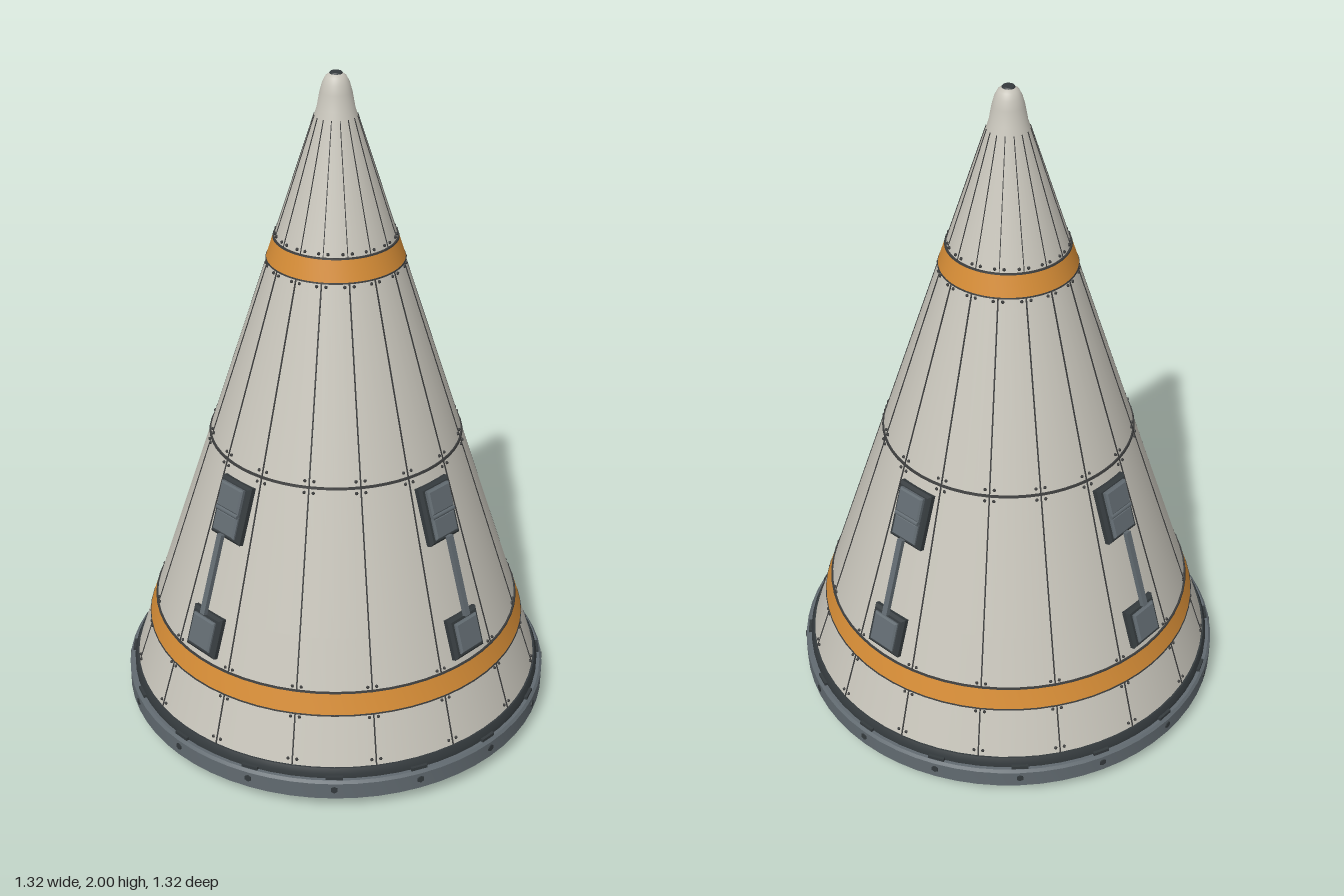
import * as THREE from 'three';
import { mergeGeometries, toCreasedNormals } from 'three/addons/utils/BufferGeometryUtils.js';

const SLOPE = 0.3236, TILT = Math.atan(SLOPE), PANELS = 16;
const radiusAt = (y) => 0.668 - SLOPE * y;

const paint = (color) => new THREE.MeshStandardMaterial({ color });
const shell = paint(0xc8c5bb), orange = paint(0xd58c36), steel = paint(0x616a70);
const dark = paint(0x343a3d), black = paint(0x1b1c1e), line = paint(0x3c3d3d);

function add(parent, name, geometry, material, x = 0, y = 0, z = 0) {
  const mesh = new THREE.Mesh(geometry, material);
  mesh.name = name;
  mesh.position.set(x, y, z);
  parent.add(mesh);
  return mesh;
}

// Surface of revolution; the points run anticlockwise in the (radius, y) plane
function turned(points, creased = true) {
  const g = new THREE.LatheGeometry(points.map(([r, y]) => new THREE.Vector2(r, y)), 64);
  return creased ? toCreasedNormals(g, 0.5) : g;
}

// Thin closed band that wraps the cone between two heights
function band(y0, y1, proud) {
  const a = radiusAt(y0), b = radiusAt(y1);
  return turned([[a - 0.01, y0], [a + proud, y0], [b + proud, y1], [b - 0.01, y1]]);
}

// Places a geometry on the cone, its z axis along the surface normal
function onCone(geometry, angle, y, lift = 0) {
  return geometry.rotateX(-TILT).translate(0, y, radiusAt(y) + lift).rotateY(angle);
}

function pad(width, height, depth, bevel) {
  const w = width / 2 - bevel, h = height / 2 - bevel;
  const s = new THREE.Shape([[-w, -h], [w, -h], [w, h], [-w, h]].map(([x, y]) => new THREE.Vector2(x, y)));
  return new THREE.ExtrudeGeometry(s, {
    depth: depth - bevel, bevelSize: bevel, bevelThickness: bevel, bevelSegments: 1,
  });
}

// Pair of mounting pads joined by a stand-off rod
function createBracket() {
  const bracket = new THREE.Group();
  add(bracket, 'upperPadFrame', pad(0.122, 0.176, 0.024, 0.008), dark, 0, 0.184, -0.006);
  add(bracket, 'upperPadBlock', pad(0.09, 0.075, 0.018, 0.005), steel, 0, 0.223, 0.014);
  add(bracket, 'upperPadLatch', pad(0.09, 0.065, 0.014, 0.005), steel, 0, 0.143, 0.014);
  const hinge = new THREE.CylinderGeometry(0.008, 0.008, 0.088, 10).rotateZ(Math.PI / 2);
  add(bracket, 'upperPadHinge', hinge, steel, 0, 0.18, 0.024);
  add(bracket, 'lowerPadFrame', pad(0.122, 0.126, 0.024, 0.008), dark, 0, -0.2, -0.006);
  add(bracket, 'lowerPadBlock', pad(0.09, 0.094, 0.014, 0.005), steel, 0, -0.2, 0.014);
  add(bracket, 'rod', new THREE.BoxGeometry(0.018, 0.25, 0.014), steel, 0, -0.015, 0.031);
  return bracket;
}

export function createModel() {
  const model = new THREE.Group();
  model.name = 'noseCone';

  // Conical shell with a rounded tip
  add(model, 'coneShell', turned([[radiusAt(0.1), 0.1], [radiusAt(0.5), 0.5], [radiusAt(0.92), 0.92],
    [radiusAt(1.5), 1.5], [radiusAt(1.9), 1.9], [0.045, 1.945], [0.038, 1.97], [0.029, 1.988],
    [0.017, 1.997], [0, 1.998]], false), shell);
  add(model, 'tipCap', new THREE.CylinderGeometry(0.016, 0.021, 0.008, 24), dark, 0, 1.996, 0);

  // Painted bands with dark edge lines
  for (const [name, y0, y1] of [['lowerBand', 0.285, 0.345], ['upperBand', 1.465, 1.525]]) {
    add(model, name, band(y0, y1, 0.004), orange);
    add(model, name + 'BottomEdge', band(y0 - 0.004, y0, 0.005), line);
    add(model, name + 'TopEdge', band(y1, y1 + 0.004, 0.005), line);
  }
  add(model, 'middleSeam', band(0.912, 0.918, 0.004), line);

  // Panel seams and the rivets on either side of them
  const seams = [], rivets = [], bolts = [], clips = [];
  for (let i = 0; i < PANELS; i++) {
    const angle = (i + 0.5) * Math.PI * 2 / PANELS;
    for (const [y0, y1, width] of [[0.13, 1.47, 0.004], [1.52, 1.88, 0.002]]) {
      const strip = new THREE.BoxGeometry(width, (y1 - y0) / Math.cos(TILT), 0.004);
      seams.push(onCone(strip, angle, (y0 + y1) / 2));
    }
    for (const y of [0.15, 0.272, 0.358, 0.9, 0.932, 1.452, 1.538]) {
      for (const side of [-1, 1]) {
        const rivet = new THREE.SphereGeometry(0.005, 6, 4);
        rivets.push(onCone(rivet, angle + side * 0.013 / radiusAt(y), y, 0.001));
      }
    }
    // Bolts round the base ring and clips on its collar
    const around = i * Math.PI * 2 / PANELS;
    bolts.push(new THREE.CylinderGeometry(0.011, 0.011, 0.008, 6)
      .rotateX(Math.PI / 2).translate(0, 0.075, 0.654).rotateY(around));
    clips.push(new THREE.BoxGeometry(0.05, 0.012, 0.02).translate(0, 0.107, 0.636).rotateY(around));
  }
  add(model, 'panelSeams', mergeGeometries(seams), line);
  add(model, 'rivets', mergeGeometries(rivets), line);
  add(model, 'baseBolts', mergeGeometries(bolts), dark);
  add(model, 'collarClips', mergeGeometries(clips), dark);

  // Base ring, collar and underside
  add(model, 'baseRing', turned([[0.645, 0.035], [0.655, 0.043], [0.655, 0.095], [0.648, 0.103], [0.6, 0.103]]), steel);
  add(model, 'baseCollar', turned([[0.638, 0.1], [0.638, 0.118], [0.63, 0.133], [0.61, 0.133]]), dark);
  add(model, 'baseUnderside', turned([[0.5, 0.037], [0.5, 0.035], [0.646, 0.035]]), dark);
  add(model, 'heatPlate', new THREE.CylinderGeometry(0.505, 0.505, 0.02, 64), black, 0, 0.046, 0);
  add(model, 'dockingRing', turned([[0.245, 0.037], [0.245, 0.004], [0.249, 0], [0.346, 0],
    [0.352, 0.005], [0.352, 0.026], [0.345, 0.03], [0.345, 0.037]]), dark);
  add(model, 'dockingRingRim', turned([[0.35, 0.005], [0.354, 0.007], [0.354, 0.022], [0.35, 0.024]]), steel);

  // Four brackets, one per side
  ['front', 'left', 'back', 'right'].forEach((side, i) => {
    const mount = new THREE.Group();
    mount.name = side + 'Bracket';
    mount.rotation.y = i * Math.PI / 2;
    const bracket = createBracket();
    bracket.position.set(0, 0.62, radiusAt(0.62));
    bracket.rotation.x = -TILT;
    mount.add(bracket);
    model.add(mount);
  });
  return model;
}
